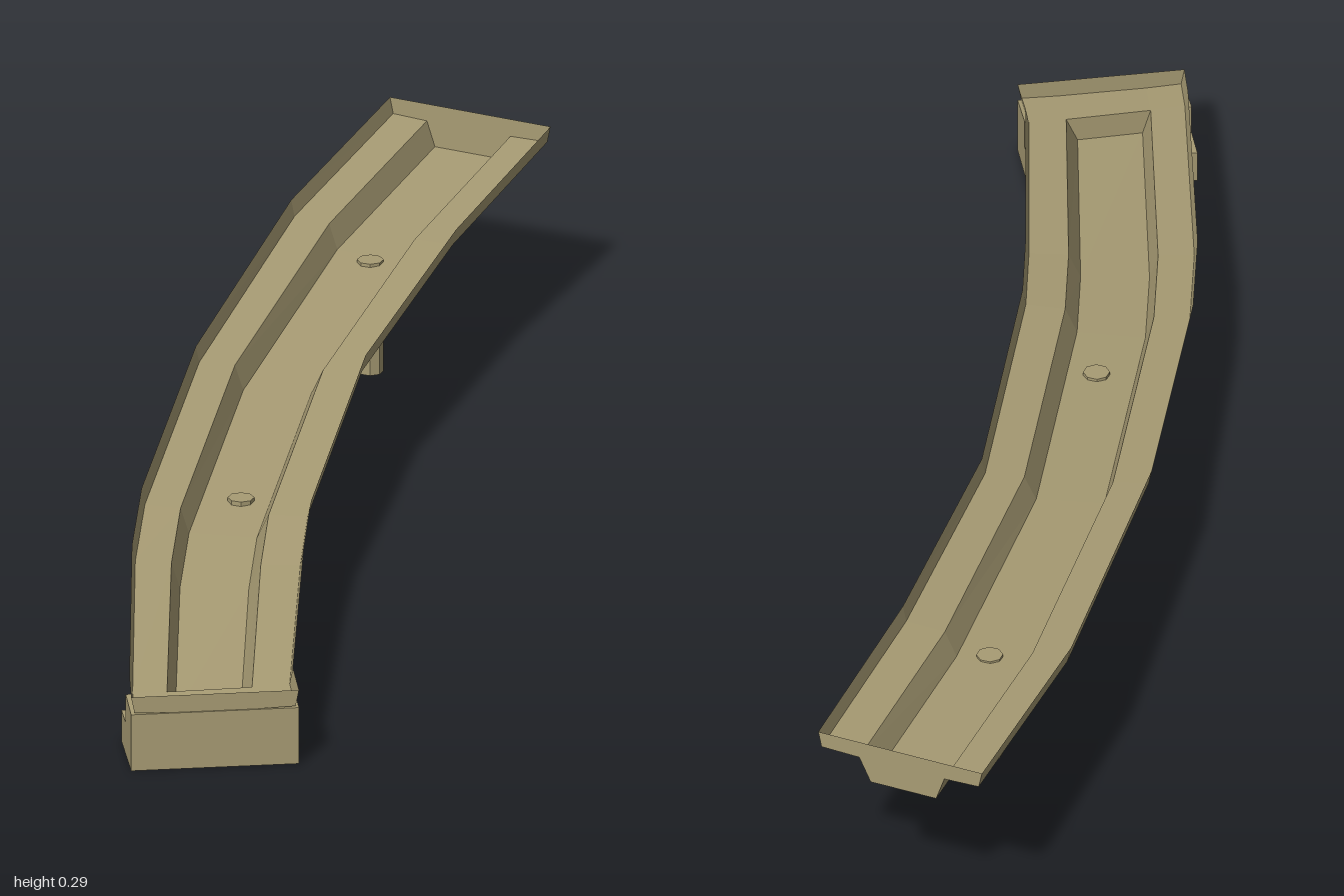
import * as THREE from 'three';

const material = new THREE.MeshStandardMaterial({
  color: 0xa89c74, flatShading: true, side: THREE.DoubleSide,
});

// Stations along the curve: back edge x, z; front edge x, z; top height; trough depth
const FLAT = 0.03, DEEP = 0.073;
const stations = [
  [-1.0, 0.575, -0.78, 0.745, 0.13, FLAT],
  [-0.95, 0.52, -0.73, 0.68, 0.137, FLAT],
  [-0.95, 0.52, -0.73, 0.68, 0.137, DEEP], // step down in front of the abutment wall
  [-0.6, 0.17, -0.41, 0.38, 0.175, DEEP],
  [-0.44, 0.03, -0.28, 0.265, 0.192, DEEP],
  [0.0, -0.29, 0.17, -0.065, 0.232, DEEP],
  [0.51, -0.585, 0.61, -0.3, 0.267, DEEP],
  [0.905, -0.755, 1.0, -0.475, 0.292, DEEP],
];

// Cross-section: fraction across the width and drop below the top
function section([bx, bz, fx, fz, top, depth]) {
  const profile = [
    [0, 0], [0.02, 0.028], [0.23, FLAT], [0.28, depth],
    [0.68, depth], [0.75, FLAT], [0.98, 0.028], [1, 0],
  ];
  return profile.map(([t, drop]) => [bx + (fx - bx) * t, top - drop, bz + (fz - bz) * t]);
}

function quadGeometry(quads) {
  const positions = quads.flatMap(([a, b, c, d]) => [a, b, c, a, c, d]).flat();
  const geometry = new THREE.BufferGeometry();
  geometry.setAttribute('position', new THREE.Float32BufferAttribute(positions, 3));
  geometry.computeVertexNormals();
  return geometry;
}

function addMesh(group, name, geometry) {
  const mesh = new THREE.Mesh(geometry, material);
  mesh.name = name;
  group.add(mesh);
  return mesh;
}

export function createModel() {
  const group = new THREE.Group();
  group.name = 'curvedRampBridge';
  const rings = stations.map(section);

  // Open trough girder with side flanges
  const shell = [];
  for (let i = 0; i < rings.length - 1; i++) {
    for (let j = 0; j < 7; j++) {
      shell.push([rings[i][j], rings[i][j + 1], rings[i + 1][j + 1], rings[i + 1][j]]);
    }
  }
  addMesh(group, 'girder', quadGeometry(shell));

  // Closing plates at both ends
  const endPlate = (r, flip) => [0, 1, 2].map((k) => {
    const quad = [r[k], r[k + 1], r[6 - k], r[7 - k]];
    return flip ? quad.reverse() : quad;
  });
  addMesh(group, 'lowerEndPlate', quadGeometry(endPlate(rings[0], true)));
  addMesh(group, 'upperEndPlate', quadGeometry(endPlate(rings[rings.length - 1], false)));

  // Abutment: back wall with a bearing seat
  const outline = new THREE.Shape([
    [0, 0], [0.135, 0], [0.135, 0.055], [0.075, 0.055], [0.075, 0.106], [0, 0.099],
  ].map(([x, y]) => new THREE.Vector2(x, y)));
  const abutment = addMesh(group, 'abutment',
    new THREE.ExtrudeGeometry(outline, { depth: 0.278, bevelEnabled: false }));
  abutment.position.set(-1, 0, 0.575);
  abutment.rotation.y = 0.912;

  // Round piers
  for (const [name, x, z, h] of [['lowerPier', -0.25, 0.07, 0.135], ['upperPier', 0.54, -0.43, 0.197]]) {
    const pier = addMesh(group, name, new THREE.CylinderGeometry(0.022, 0.022, h, 8));
    pier.position.set(x, h / 2, z);
  }
  return group;
}
